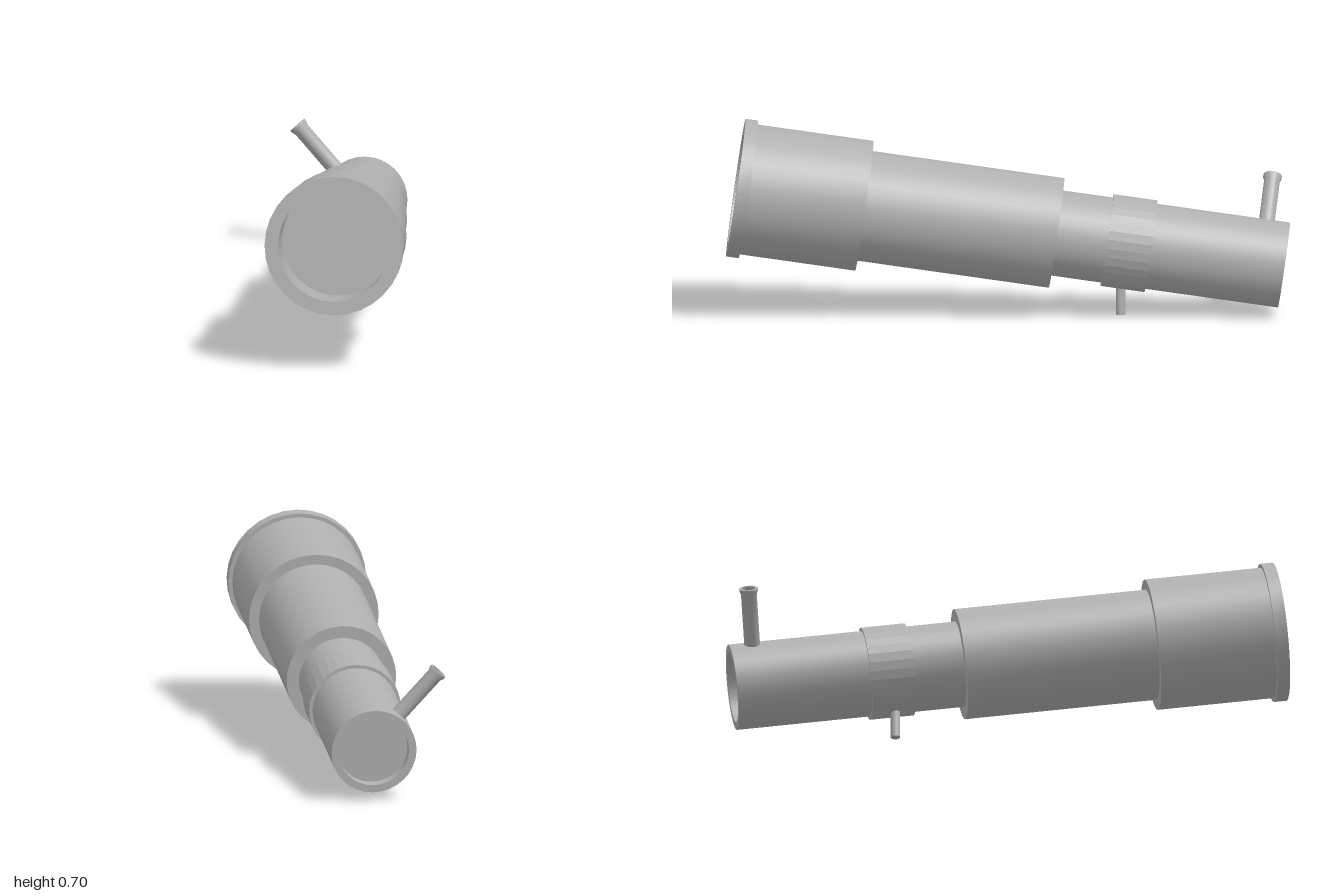
import * as THREE from 'three';
import { toCreasedNormals } from 'three/addons/utils/BufferGeometryUtils.js';

const metal = new THREE.MeshStandardMaterial({ color: 0xb0b0b0 });
metal.name = 'grey metal';

// Turned part about its own y axis; profile is [radius, height] pairs
function turned(name, profile, sides = 32, crease = 0.6) {
  const points = profile.map(([r, h]) => new THREE.Vector2(r, h));
  const geometry = toCreasedNormals(new THREE.LatheGeometry(points, sides), crease);
  const mesh = new THREE.Mesh(geometry, metal);
  mesh.name = name;
  return mesh;
}

export function createModel() {
  const model = new THREE.Group();
  model.name = 'telescope';

  // Barrel: local y runs from the eyepiece to the front, local -z is up
  const barrel = new THREE.Group();
  barrel.name = 'barrel';
  barrel.position.set(0.007, 0.178, -0.978);
  barrel.rotation.x = Math.acos(0.1414);
  model.add(barrel);

  barrel.add(
    turned('eyepieceTube', [[0, 0.04], [0.125, 0.04], [0.125, 0], [0.152, 0], [0.152, 0.82]]),
    turned('mainTube', [[0.14, 0.813], [0.196, 0.813], [0.196, 1.51]]),
    turned('frontHood', [[0.18, 1.5], [0.232, 1.5], [0.232, 1.92]]),
    turned('frontRim', [
      [0.22, 1.915], [0.246, 1.915], [0.246, 1.96],
      [0.198, 1.96], [0.198, 1.7], [0, 1.7],
    ])
  );

  // Faceted focus ring
  barrel.add(turned('focusRing',
    [[0.14, 0.476], [0.164, 0.476], [0.164, 0.632], [0.14, 0.632]], 32, 0.05));

  // Small side tube with a flared, hollow tip, leaning out at the upper right
  const angle = THREE.MathUtils.degToRad(41.3);
  const outward = new THREE.Vector3(-Math.sin(angle), 0, -Math.cos(angle));
  const sideTube = turned('sideTube', [
    [0, 0], [0.028, 0], [0.028, 0.195], [0.033, 0.208], [0.033, 0.218],
    [0.024, 0.218], [0.024, 0.19], [0, 0.19],
  ], 20);
  sideTube.position.copy(outward).multiplyScalar(0.14).setY(0.08);
  sideTube.quaternion.setFromUnitVectors(new THREE.Vector3(0, 1, 0), outward);
  barrel.add(sideTube);

  // Upright mounting peg under the focus ring
  const peg = turned('mountingPeg', [[0, 0], [0.017, 0], [0.017, 0.12], [0, 0.12]], 20);
  peg.position.set(0.007, 0, -0.4);
  model.add(peg);

  return model;
}
